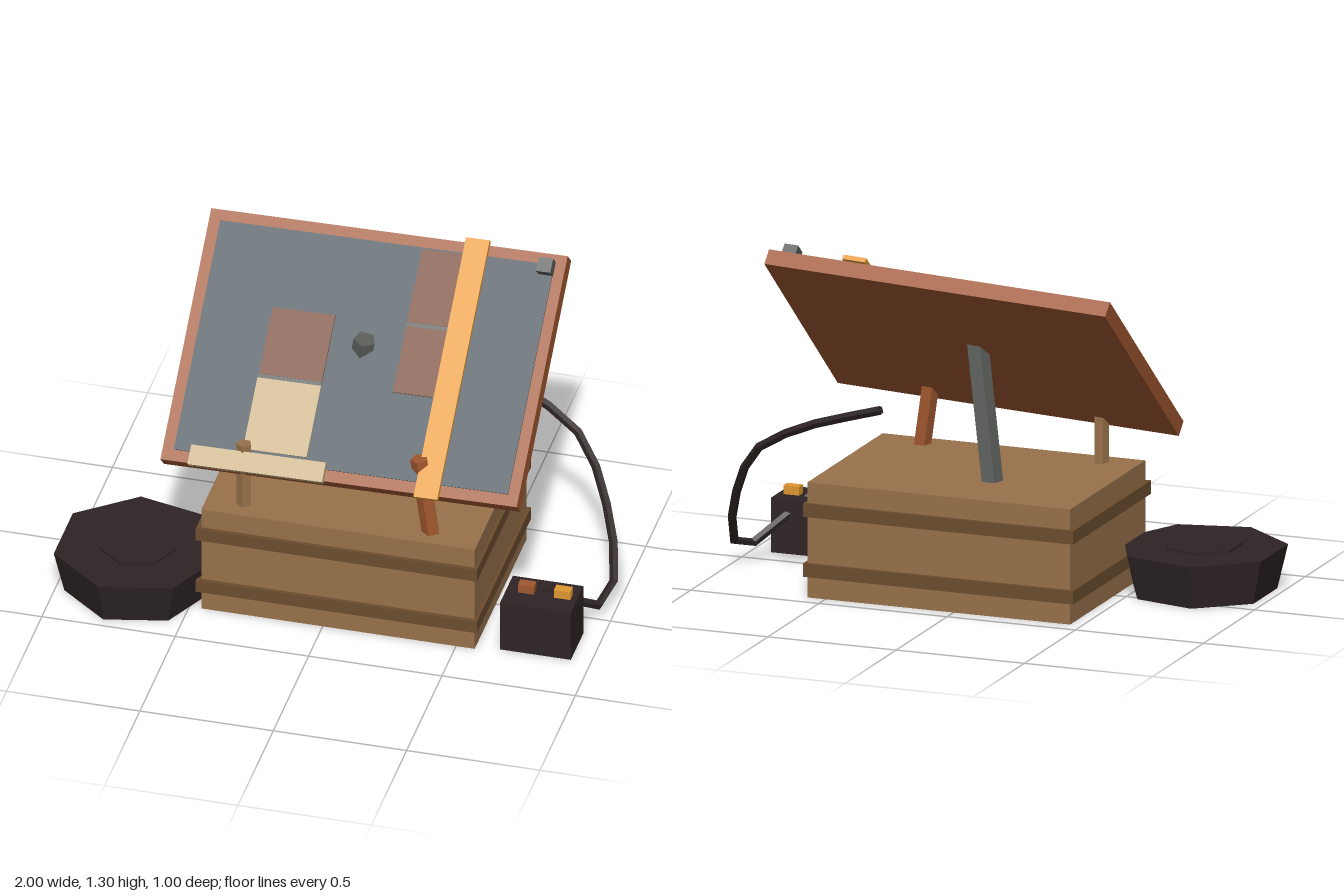
import * as THREE from 'three';

const mat = (name, color) => {
  const m = new THREE.MeshStandardMaterial({ color });
  m.name = name;
  return m;
};

export function createModel() {
  const crateWood = mat('crateWood', 0x98714a);
  const bandWood = mat('bandWood', 0x6c4d2e);
  const copper = mat('copper', 0xa0572f);
  const rust = mat('rust', 0x744024);
  const slate = mat('slate', 0x3f4c56);
  const cream = mat('cream', 0xc4ad82);
  const gold = mat('gold', 0xdf972f);
  const steel = mat('steel', 0x5a5d59);
  const charcoal = mat('charcoal', 0x2e2425);
  charcoal.side = THREE.DoubleSide; // the cable is open at its ends

  const model = new THREE.Group();
  model.name = 'tiltedPanelOnCrate';

  // Adds a faceted mesh to a parent
  const add = (parent, name, geometry, material) => {
    const flat = geometry.index ? geometry.toNonIndexed() : geometry;
    flat.computeVertexNormals();
    const mesh = new THREE.Mesh(flat, material);
    mesh.name = name;
    parent.add(mesh);
    return mesh;
  };
  // Box given by its minimum and maximum on each axis
  const box = (parent, name, material, [x0, x1], [y0, y1], [z0, z1]) => {
    const mesh = add(parent, name, new THREE.BoxGeometry(x1 - x0, y1 - y0, z1 - z0), material);
    mesh.position.set((x0 + x1) / 2, (y0 + y1) / 2, (z0 + z1) / 2);
    return mesh;
  };
  // Five-sided rod between two points
  const rod = (name, material, from, to, radius) => {
    const a = new THREE.Vector3(...from), b = new THREE.Vector3(...to);
    const dir = b.clone().sub(a);
    const mesh = add(model, name, new THREE.CylinderGeometry(radius, radius, dir.length(), 5), material);
    mesh.position.copy(a).add(b).multiplyScalar(0.5);
    mesh.quaternion.setFromUnitVectors(new THREE.Vector3(0, 1, 0), dir.normalize());
  };

  // Crate with two bands
  box(model, 'crate', crateWood, [-0.455, 0.57], [0, 0.432], [-0.437, 0.3]);
  for (const y of [0.08, 0.305])
    box(model, 'crateBand', bandWood, [-0.472, 0.582], [y, y + 0.05], [-0.452, 0.315]);

  // Seven-sided tub with a low raised disc
  const tub = add(model, 'tub', new THREE.CylinderGeometry(0.311, 0.272, 0.165, 7), charcoal);
  tub.position.set(-0.72, 0.0825, 0.195);
  const lid = add(model, 'tubDisc', new THREE.CylinderGeometry(0.145, 0.145, 0.03, 7), charcoal);
  lid.position.set(-0.72, 0.16, 0.195);
  tub.rotation.y = lid.rotation.y = Math.PI / 2;

  // Battery with terminals
  box(model, 'battery', charcoal, [0.66, 0.925], [0, 0.205], [0.1, 0.28]);
  box(model, 'copperTerminal', copper, [0.705, 0.765], [0.2, 0.238], [0.162, 0.2]);
  box(model, 'goldTerminal', gold, [0.84, 0.902], [0.2, 0.238], [0.162, 0.2]);

  // Cable from the battery up behind the board
  const path = new THREE.CatmullRomCurve3([
    [0.8, 0.205, 0.18], [0.87, 0.14, 0.1], [0.935, 0.075, 0.03], [0.98, 0.053, -0.07],
    [0.965, 0.175, -0.185], [0.9, 0.345, -0.29], [0.79, 0.52, -0.385],
    [0.58, 0.64, -0.44], [0.265, 0.745, -0.485],
  ].map((p) => new THREE.Vector3(...p)));
  add(model, 'cable', new THREE.TubeGeometry(path, 11, 0.017, 5), charcoal);

  // Supports, whose ends poke through the board
  rod('leftLeg', crateWood, [-0.315, 0.4, 0.22], [-0.315, 0.695, 0.22], 0.029);
  rod('rightLeg', copper, [0.39, 0.4, 0.222], [0.342, 0.742, 0.222], 0.034);
  rod('rearStrut', steel, [-0.045, 0.4, -0.168], [0.053, 1.005, -0.098], 0.042);

  // Tilted board: local z points out of its face
  const board = new THREE.Group();
  board.name = 'board';
  board.position.set(0.057, 0.943, -0.07);
  board.rotation.set(-0.855, -0.052, 0);
  model.add(board);
  box(board, 'boardFrame', copper, [-0.675, 0.675], [-0.478, 0.478], [-0.06, 0]);
  box(board, 'slatePanel', slate, [-0.632, 0.634], [-0.435, 0.437], [-0.004, 0.004]);

  // Patches on the panel, with steel seams between them
  box(board, 'rustPatch', rust, [-0.372, -0.135], [-0.113, 0.14], [0, 0.009]);
  box(board, 'creamPatch', cream, [-0.376, -0.135], [-0.4, -0.128], [0, 0.009]);
  box(board, 'leftSeam', steel, [-0.376, -0.135], [-0.128, -0.113], [0, 0.008]);
  box(board, 'rustPatch', rust, [0.135, 0.36], [-0.115, 0.137], [0, 0.009]);
  box(board, 'rustPatch', rust, [0.135, 0.36], [0.153, 0.43], [0, 0.009]);
  box(board, 'rightSeam', steel, [0.135, 0.36], [0.137, 0.153], [0, 0.008]);

  // Strap, ledge and corner block
  box(board, 'strap', gold, [0.291, 0.381], [-0.495, 0.493], [0, 0.018]);
  box(board, 'ledge', cream, [-0.566, -0.056], [-0.488, -0.413], [0, 0.022]);
  box(board, 'cornerBlock', steel, [0.582, 0.636], [0.396, 0.45], [0, 0.045]);

  return model;
}
